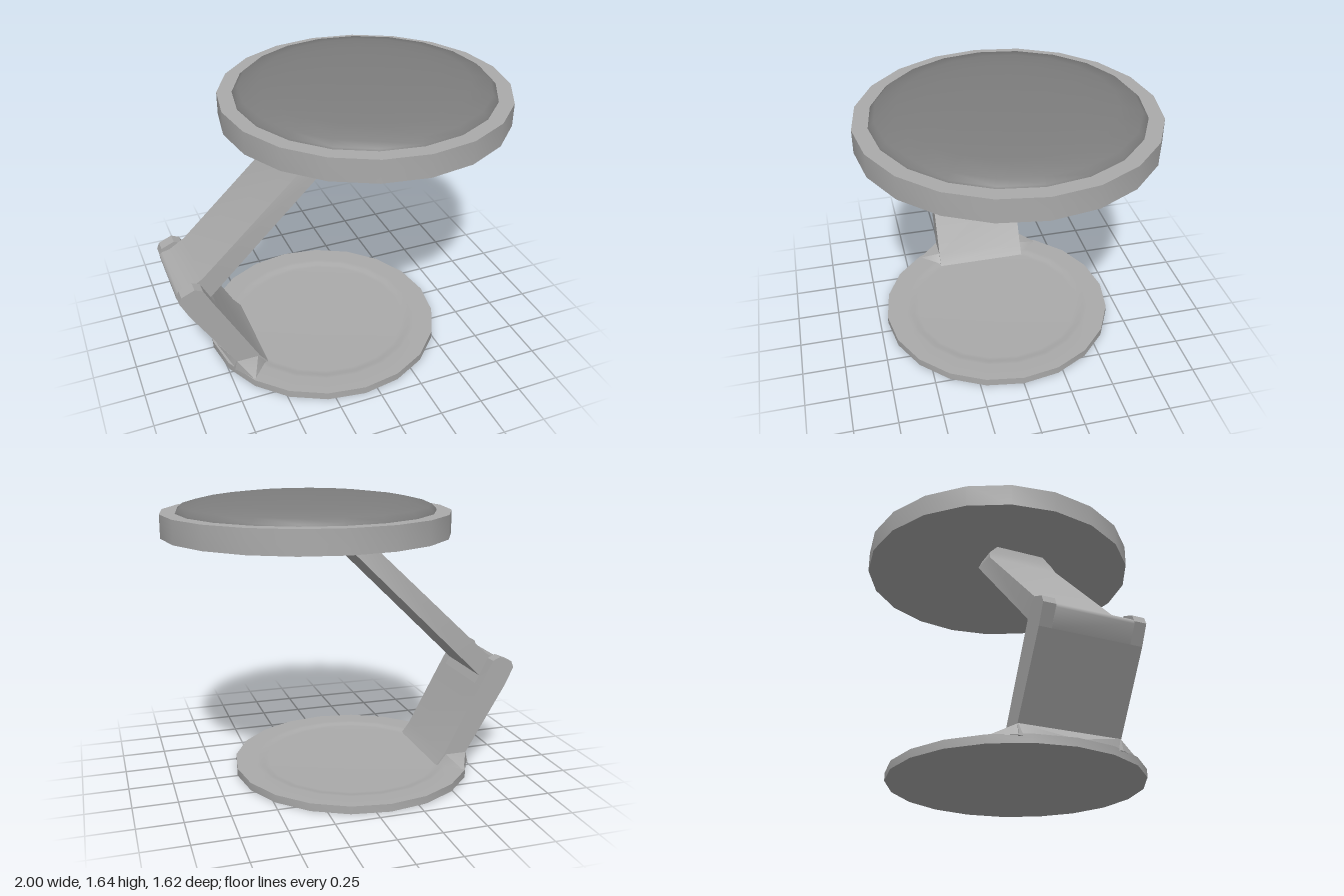
import * as THREE from 'three';
import { toCreasedNormals } from 'three/addons/utils/BufferGeometryUtils.js';
import { ConvexGeometry } from 'three/addons/geometries/ConvexGeometry.js';

const grey = new THREE.MeshStandardMaterial({ color: 0xaaaaaa });
const darkGrey = new THREE.MeshStandardMaterial({ color: 0x7d7d7d });

function part(name, geometry, crease = 0.6, material = grey) {
  const mesh = new THREE.Mesh(toCreasedNormals(geometry, crease), material);
  mesh.name = name;
  return mesh;
}

// Twenty-sided turned disc from [radius, height] pairs, bottom to top
function turned(name, profile, x, crease, material) {
  const points = profile.map(([r, y]) => new THREE.Vector2(r, y));
  const mesh = part(name, new THREE.LatheGeometry(points, 20), crease, material);
  mesh.position.x = x;
  return mesh;
}

// Rectangular sections [backX, backY, frontX, frontY, halfDepth] joined into a closed bar
function bar(name, sections, crease) {
  const positions = [];
  const index = [];
  for (const [bx, by, fx, fy, d] of sections) {
    positions.push(bx, by, -d, bx, by, d, fx, fy, d, fx, fy, -d);
  }
  for (let s = 0; s < sections.length - 1; s++) {
    for (let i = 0; i < 4; i++) {
      const a = s * 4 + i;
      const b = s * 4 + (i + 1) % 4;
      index.push(a, b, b + 4, a, b + 4, a + 4);
    }
  }
  const t = (sections.length - 1) * 4;
  index.push(0, 2, 1, 0, 3, 2, t, t + 1, t + 2, t, t + 2, t + 3);
  const geometry = new THREE.BufferGeometry();
  geometry.setAttribute('position', new THREE.Float32BufferAttribute(positions, 3));
  geometry.setIndex(index);
  return part(name, geometry, crease);
}

export function createModel() {
  const model = new THREE.Group();

  // Base plate with a shallow recess
  model.add(turned('basePlate', [
    [0, 0], [0.702, 0], [0.702, 0.045], [0.58, 0.045], [0.555, 0.044],
    [0.535, 0.037], [0.51, 0.036], [0, 0.036],
  ], -0.078));

  // Flared foot that spreads to the plate's rim
  const footPoints = [new THREE.Vector3(-0.77, 0.04, 0)];
  for (const side of [-1, 1]) {
    for (const [x, y, z] of [
      [-0.71, 0.1, 0.278], [-0.58, 0.1, 0.278],
      [-0.72, 0.04, 0.28], [-0.64, 0.04, 0.41], [-0.535, 0.04, 0.285],
    ]) footPoints.push(new THREE.Vector3(x, y, z * side));
  }
  model.add(part('foot', new ConvexGeometry(footPoints)));

  // Lower arm, spreading forward onto the plate
  model.add(bar('lowerArm', [
    [-0.725, 0.035, -0.52, 0.035, 0.282],
    [-0.71, 0.1, -0.57, 0.1, 0.282],
    [-0.95, 0.5, -0.787, 0.505, 0.282],
  ]));

  // Hinge ears on both sides of the upper arm
  const earShape = new THREE.Shape([
    [-0.95, 0.5], [-0.787, 0.505], [-0.812, 0.55], [-0.865, 0.655],
    [-0.91, 0.675], [-0.985, 0.643], [-1, 0.605],
  ].map(([x, y]) => new THREE.Vector2(x, y)));
  for (const [name, z] of [['frontEar', 0.213], ['rearEar', -0.282]]) {
    const ear = part(name,
      new THREE.ExtrudeGeometry(earShape, { depth: 0.069, bevelEnabled: false }));
    ear.position.z = z;
    model.add(ear);
  }

  // Upper arm: rounded knuckle between the ears, long bar, tapered neck under the head
  model.add(bar('upperArm', [
    [-0.95, 0.5, -0.787, 0.505, 0.214],
    [-1, 0.59, -0.815, 0.548, 0.214],
    [-1, 0.605, -0.812, 0.551, 0.214],
    [-0.985, 0.62, -0.809, 0.554, 0.214],
    [-0.94, 0.63, -0.806, 0.557, 0.214],
    [-0.85, 0.685, -0.74, 0.622, 0.214],
    [-0.19, 1.31, -0.018, 1.33, 0.214],
    [-0.16, 1.365, -0.025, 1.365, 0.2],
    [-0.148, 1.43, -0.08, 1.43, 0.14],
  ], 0.8));

  // Round head with a low, darker dome
  model.add(turned('headDisc', [
    [0, 1.42], [0.81, 1.42], [0.81, 1.55], [0, 1.55],
  ], 0.19));
  model.add(turned('headDome', [
    [0.728, 1.547], [0.722, 1.56], [0.695, 1.585], [0.58, 1.612],
    [0.42, 1.632], [0.22, 1.643], [0, 1.645],
  ], 0.19, 0.9, darkGrey));

  return model;
}
